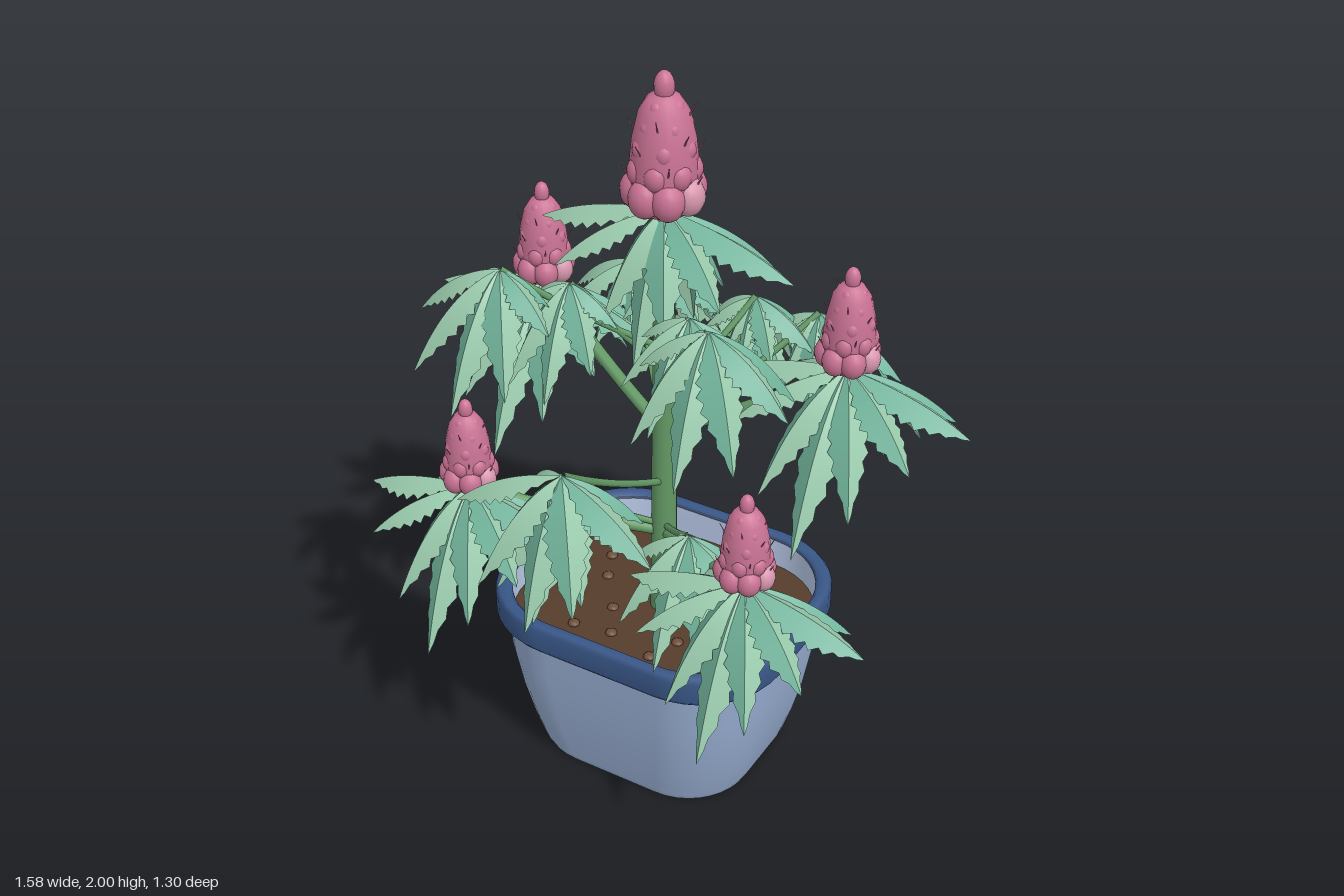
import * as THREE from 'three';

const mat = (name, color, side = THREE.FrontSide) => {
  const m = new THREE.MeshStandardMaterial({ color, side });
  m.name = name;
  return m;
};
const V = (x, y, z) => new THREE.Vector3(x, y, z);

// Skin of rounded-rectangle sections, each [y, halfX, halfZ, cornerRadius]
function loft(sections, perCorner = 10) {
  const pos = [], idx = [], n = perCorner * 4;
  for (const [y, hx, hz, r] of sections) {
    for (let c = 0; c < 4; c++) {
      const sx = c === 0 || c === 3 ? 1 : -1, sz = c < 2 ? 1 : -1;
      for (let k = 0; k < perCorner; k++) {
        const a = (c + k / (perCorner - 1)) * Math.PI / 2;
        pos.push(sx * (hx - r) + r * Math.cos(a), y, sz * (hz - r) + r * Math.sin(a));
      }
    }
  }
  for (let j = 0; j < sections.length - 1; j++) {
    for (let i = 0; i < n; i++) {
      const a = j * n + i, b = j * n + (i + 1) % n;
      idx.push(a, a + n, b, b, a + n, b + n);
    }
  }
  const g = new THREE.BufferGeometry();
  g.setAttribute('position', new THREE.Float32BufferAttribute(pos, 3));
  g.setIndex(idx);
  g.computeVertexNormals();
  return g;
}

// Saw-toothed leaflet folded along its midrib, drooping from the origin to tip
function leafletGeometry(tip, width) {
  const out = V(tip.x, 0, tip.z).normalize();
  const side = V(-out.z, 0, out.x);
  const curve = new THREE.QuadraticBezierCurve3(V(0, 0, 0), V(tip.x * 0.6, tip.y * 0.18, tip.z * 0.6), tip);
  const teeth = 9, pos = [], idx = [];
  const g = new THREE.BufferGeometry();
  for (const s of [-1, 1]) {
    const base = pos.length / 3, start = idx.length;
    for (let i = 0; i <= teeth * 2; i++) {
      const t = i / (teeth * 2), p = curve.getPoint(t);
      const up = side.clone().cross(curve.getTangent(t));
      if (up.y < 0) up.negate();
      const w = width * Math.sin(Math.PI * t) * (i % 2 ? 1.1 : 0.84);
      const e = p.clone().addScaledVector(side, s * w).addScaledVector(up, -w * 0.68);
      pos.push(p.x, p.y, p.z, e.x, e.y, e.z);
      if (i) {
        const a = base + i * 2 - 2;
        if (s > 0) idx.push(a, a + 2, a + 1, a + 1, a + 2, a + 3);
        else idx.push(a, a + 1, a + 2, a + 1, a + 3, a + 2);
      }
    }
    g.addGroup(start, idx.length - start, s > 0 ? 0 : 1);
  }
  g.setAttribute('position', new THREE.Float32BufferAttribute(pos, 3));
  g.setIndex(idx);
  g.computeVertexNormals();
  return g;
}

export function createModel() {
  const model = new THREE.Group();
  model.name = 'pottedPlant';
  const potMat = mat('potBlue', 0x98aed2);
  const liningMat = mat('liningPaleBlue', 0xb8c8e6, THREE.DoubleSide);
  const rimMat = mat('rimBlue', 0x395788);
  const soilMat = mat('soilBrown', 0x563d2c, THREE.DoubleSide);
  const pebbleMat = mat('pebbleBrown', 0x6e4e3a);
  const stemMat = mat('stemGreen', 0x629864);
  const leafMats = [mat('leafTeal', 0x72b49c, THREE.DoubleSide), mat('leafPale', 0x9bccae, THREE.DoubleSide)];
  const budMat = mat('budPink', 0xca7394);
  const budLight = mat('budPalePink', 0xd897ae);

  const add = (parent, name, geo, material, p) => {
    const m = new THREE.Mesh(geo, material);
    m.name = name;
    if (p) m.position.copy(p);
    parent.add(m);
    return m;
  };

  // Pot with a pale lining and base, rim and soil
  const cz = -0.008;
  const pot = new THREE.Group();
  pot.name = 'pot';
  pot.position.z = cz;
  model.add(pot);
  add(pot, 'potBase', loft([[0, 0.002, 0.002, 0.001], [0, 0.31, 0.265, 0.18]]), liningMat);
  add(pot, 'potWall', loft([[0, 0.31, 0.265, 0.18], [0.02, 0.32, 0.273, 0.185], [0.1, 0.345, 0.29, 0.195],
    [0.2, 0.37, 0.31, 0.21], [0.32, 0.39, 0.327, 0.22], [0.45, 0.4, 0.338, 0.23]]), potMat);
  add(pot, 'potLining', loft([[0.51, 0.386, 0.323, 0.216], [0.4, 0.384, 0.321, 0.215]]), liningMat);
  add(pot, 'rim', loft([[0.43, 0.39, 0.33, 0.22], [0.432, 0.415, 0.352, 0.235], [0.445, 0.424, 0.361, 0.24],
    [0.505, 0.424, 0.361, 0.24], [0.518, 0.415, 0.352, 0.235], [0.52, 0.395, 0.332, 0.225], [0.505, 0.384, 0.321, 0.215]]), rimMat);
  add(pot, 'soil', loft([[0.42, 0.388, 0.325, 0.217], [0.43, 0.002, 0.002, 0.001]]), soilMat);
  const pebbleGeo = new THREE.SphereGeometry(0.017, 8, 6);
  for (let i = 0; i < 16; i++) {
    const a = i * 2.4, r = 0.3 + 0.6 * Math.sqrt(i / 16);
    add(pot, 'pebble', pebbleGeo, pebbleMat, V(0.34 * r * Math.cos(a), 0.426, 0.28 * r * Math.sin(a))).scale.y = 0.6;
  }

  // Main stem
  add(model, 'stem', new THREE.CylinderGeometry(0.025, 0.038, 1.25, 14), stemMat, V(0, 1.035, cz));

  // Branch curving from the stem out to a point
  const branch = (fromY, to, r) => {
    const mid = V(to.x * 0.5, fromY + (to.y - fromY) * 0.4, to.z * 0.5);
    const c = new THREE.QuadraticBezierCurve3(V(0, fromY, cz), mid, to);
    add(model, 'branch', new THREE.TubeGeometry(c, 10, r, 8), stemMat);
  };

  // Fan of leaflets; those along x spread flat, those along z hang down
  const fan = (p, angles, size, flat, hang, width = 0.054) => {
    const group = new THREE.Group();
    group.name = 'leafFan';
    group.position.copy(p);
    for (const [deg, len] of angles) {
      const a = deg * Math.PI / 180, k = Math.sin(a) ** 2, l = len * size;
      const reach = flat[0] + (hang[0] - flat[0]) * k, drop = flat[1] + (hang[1] - flat[1]) * k;
      const tip = V(Math.cos(a) * reach * l, -drop * l, Math.sin(a) * reach * l);
      add(group, 'leaflet', leafletGeometry(tip, width * (0.25 + 0.75 * l)), leafMats);
    }
    model.add(group);
  };
  const ring = [0, 30, 60, 90, 120, 150, 180, 210, 240, 270, 300, 330]
    .map(d => [d, d % 90 === 0 ? 1 : 0.88]);
  const palm = dir => [[0, 1], [38, 0.95], [-38, 0.95], [80, 0.9], [-80, 0.9], [122, 0.7], [-122, 0.7], [165, 0.5], [-165, 0.5]]
    .map(([d, l]) => [dir + d, l]);

  // Bud: tapered core, swollen scales in rings and a pointed top
  const coreGeo = new THREE.LatheGeometry([[0.001, 0], [0.06, 0.005], [0.082, 0.05], [0.087, 0.12], [0.079, 0.2],
    [0.063, 0.27], [0.04, 0.305], [0.001, 0.32]].map(([x, y]) => new THREE.Vector2(x, y)), 18);
  const scaleGeo = new THREE.SphereGeometry(1, 14, 10);
  const hairGeo = new THREE.CylinderGeometry(0.0015, 0.0025, 0.045, 4);
  const bud = (p, s) => {
    const g = new THREE.Group();
    g.name = 'bud';
    g.position.copy(p);
    g.scale.setScalar(s);
    add(g, 'budCore', coreGeo, budMat);
    add(g, 'budTip', scaleGeo, budMat, V(0, 0.33, 0)).scale.set(0.026, 0.04, 0.026);
    // rings: [count, radius, height, scale size]
    [[7, 0.068, 0.058, 0.043], [7, 0.064, 0.12, 0.032], [6, 0.06, 0.18, 0.026], [5, 0.05, 0.235, 0.022], [4, 0.034, 0.28, 0.02]]
      .forEach(([n, r, y, w], row) => {
        for (let i = 0; i < n; i++) {
          const a = (i + row * 0.5) / n * Math.PI * 2;
          const m = row === 0 && i % 4 === 0 ? budLight : budMat;
          add(g, 'budScale', scaleGeo, m, V(r * Math.cos(a), y, r * Math.sin(a))).scale.set(w, w * 1.2, w);
        }
      });
    // fine hairs
    for (let i = 0; i < 14; i++) {
      const a = i * 2.4, y = 0.1 + i * 0.014, r = 0.096 - 0.13 * (y - 0.1);
      const h = add(g, 'budHair', hairGeo, budMat, V(r * Math.cos(a), y, r * Math.sin(a)));
      h.rotation.set(0.5 * Math.sin(a), 0, -0.5 * Math.cos(a));
    }
    model.add(g);
  };

  // Crown
  fan(V(0, 1.64, cz), ring, 1, [0.36, 0.11], [0.15, 0.38]);
  bud(V(0, 1.635, cz), 0.985);

  // Front and back single fans
  for (const s of [1, -1]) {
    const p = V(0, 1.14, 0.47 * s);
    branch(0.84, p, 0.01);
    fan(p, palm(90 * s), 1, [0.32, 0.15], [0.18, 0.36]);
  }

  // Mirrored side branches
  for (const s of [1, -1]) {
    const upper = V(0.45 * s, 1.26, -0.14), lower = V(0.41 * s, 0.86, 0.295);
    branch(1.0, upper, 0.017);
    fan(upper, ring, 1, [0.34, 0.1], [0.27, 0.42]);
    bud(upper, 0.77);
    branch(0.68, lower, 0.017);
    fan(lower, ring, 1, [0.33, 0.1], [0.23, 0.41]);
    bud(lower, 0.72);

    // Smaller fans: [x, y, z, outward angle, branch start, size]
    for (const [x, y, z, dir, from, size] of [
      [0.29, 1.53, 0.28, 45, 1.25, 1.05], [0.17, 1.47, 0.16, 60, 1.2, 0.85],
      [0.28, 1.28, -0.32, -50, 1.0, 1.05], [0.13, 1.32, -0.25, -80, 1.1, 0.85],
      [0.18, 0.84, 0.17, 50, 0.7, 1]]) {
      const p = V(x * s, y, z);
      branch(from, p, 0.009);
      fan(p, palm(s > 0 ? dir : 180 - dir), size, [0.23, 0.16], [0.2, 0.33], 0.048);
    }
  }
  return model;
}
